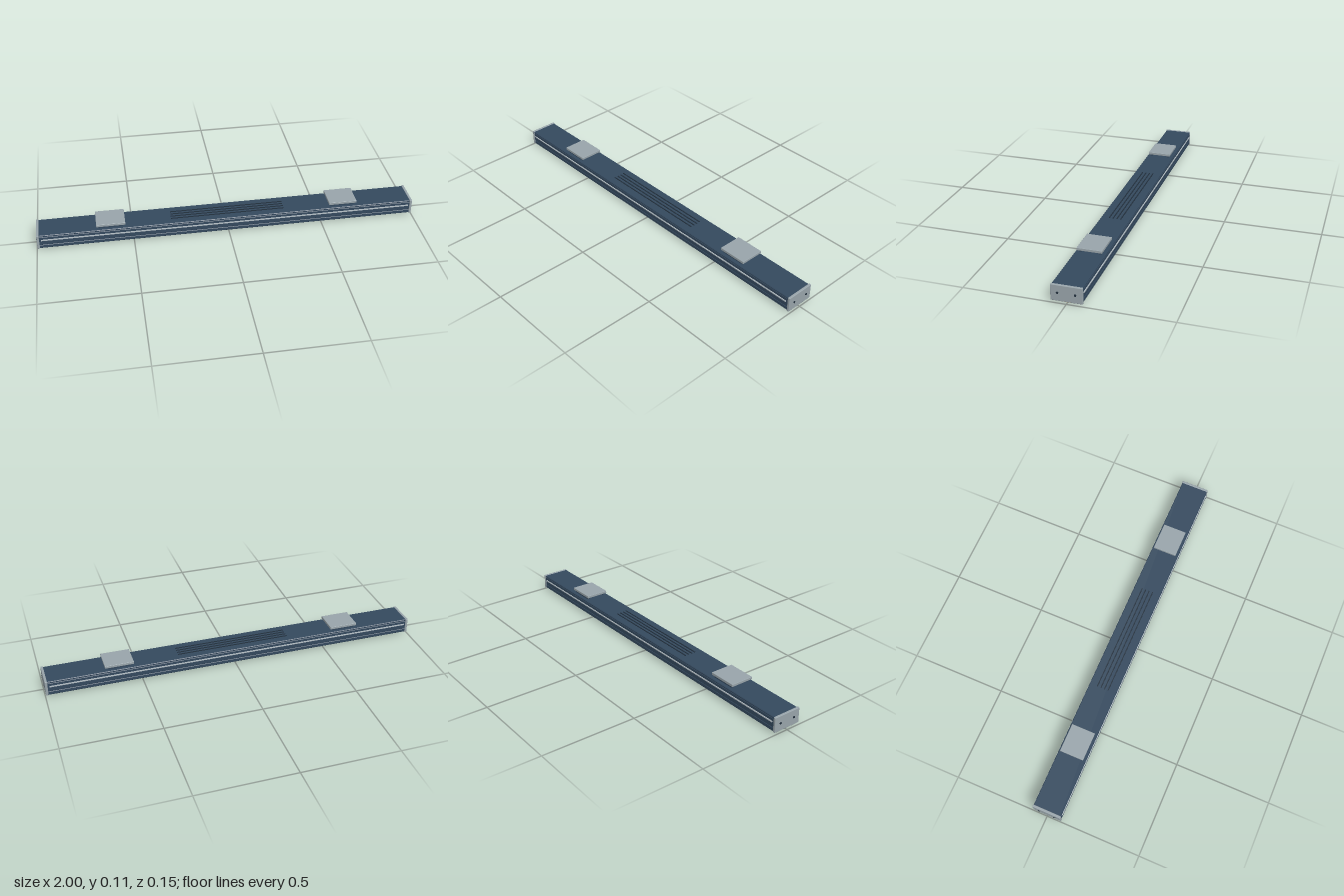
import * as THREE from 'three';
import { RoundedBoxGeometry } from 'three/addons/geometries/RoundedBoxGeometry.js';

const mat = (name, color) => {
  const m = new THREE.MeshStandardMaterial({ color });
  m.name = name;
  return m;
};

export function createModel() {
  const group = new THREE.Group();
  group.name = 'linearLamp';
  const navy = mat('navy housing', 0x34495e);
  const dark = mat('dark vent', 0x22303d);
  const grey = mat('grey metal', 0x98a4aa);
  const silver = mat('silver trim', 0xb4bec4);
  const cream = mat('cream diffuser', 0xe2cfa0);

  const add = (name, geometry, material, x = 0, y = 0, z = 0) => {
    const mesh = new THREE.Mesh(geometry, material);
    mesh.name = name;
    mesh.position.set(x, y, z);
    group.add(mesh);
    return mesh;
  };
  const box = (name, w, h, d, material, x, y, z) =>
    add(name, new THREE.BoxGeometry(w, h, d), material, x, y, z);

  // Runs a (z, y) cross-section along x, centred on x = 0
  const extrudeAlongX = (shape, length) => {
    const g = new THREE.ExtrudeGeometry(shape, { depth: length, bevelEnabled: false, curveSegments: 16 });
    g.translate(0, 0, -length / 2);
    g.rotateY(Math.PI / 2);
    return g;
  };

  // Housing: chamfered top edges and shallow side grooves
  const half = [
    [0.070, 0.010], [0.073, 0.013], [0.073, 0.028], [0.071, 0.030], [0.071, 0.033], [0.073, 0.035],
    [0.073, 0.076], [0.071, 0.078], [0.071, 0.080], [0.073, 0.082], [0.073, 0.085], [0.070, 0.088],
  ];
  const section = [...half, ...half.map(([z, y]) => [-z, y]).reverse()];
  add('housing', extrudeAlongX(new THREE.Shape(section.map(([z, y]) => new THREE.Vector2(z, y))), 1.974), navy);

  // Bowed diffuser under the housing
  const bow = new THREE.Shape();
  bow.moveTo(-0.062, 0.012);
  bow.lineTo(-0.062, 0.009);
  bow.quadraticCurveTo(0, -0.009, 0.062, 0.009);
  bow.lineTo(0.062, 0.012);
  bow.closePath();
  add('diffuser', extrudeAlongX(bow, 1.966), cream);

  // Trim strips on both long sides
  for (const s of [1, -1]) {
    box('sideTrim', 1.95, 0.006, 0.006, silver, 0, 0.060, s * 0.074);
  }

  // End caps with two screws each
  for (const s of [1, -1]) {
    add('endCap', new RoundedBoxGeometry(0.013, 0.081, 0.152, 2, 0.003), grey, s * 0.9905, 0.0495, 0);
    for (const z of [-0.042, 0.042]) {
      const screw = add('screw', new THREE.CylinderGeometry(0.0055, 0.0055, 0.006, 12), dark, s * 0.997, 0.051, z);
      screw.rotation.z = Math.PI / 2;
    }
  }

  // Cooling ribs on top
  for (const z of [-0.03, -0.01, 0.01, 0.03]) {
    box('coolingRib', 0.6, 0.005, 0.005, dark, 0, 0.0885, z);
  }

  // Mounting brackets: a plate on two rails
  for (const x of [-0.615, 0.615]) {
    add('bracketPlate', new RoundedBoxGeometry(0.15, 0.014, 0.126, 2, 0.002), grey, x, 0.107, 0);
    for (const z of [-0.049, 0.049]) {
      box('bracketRail', 0.124, 0.015, 0.012, navy, x, 0.0945, z);
    }
  }
  return group;
}
